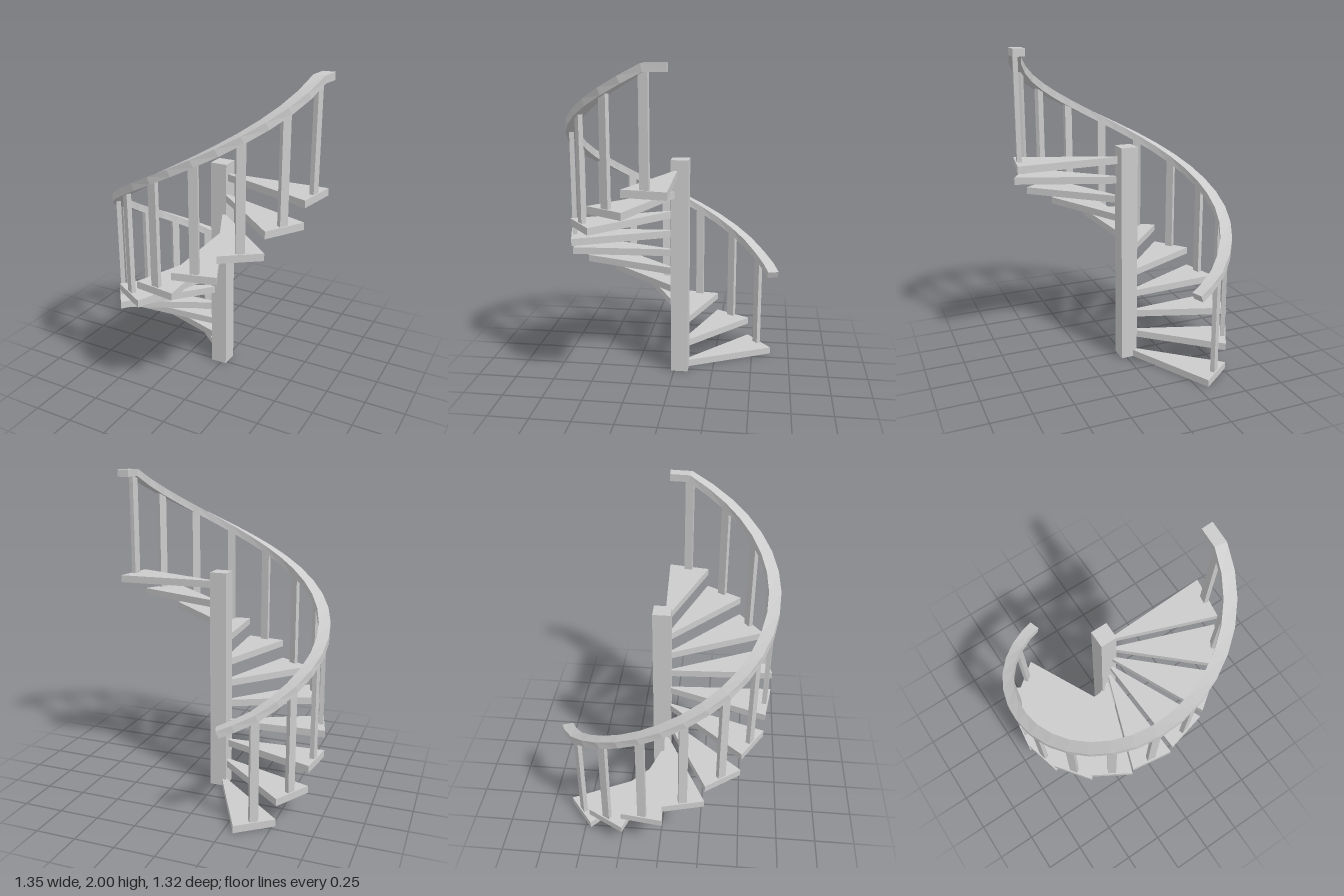
import * as THREE from 'three';

const CX = -0.01, CZ = -0.02;            // axis of the spiral
const STEPS = 11, RISE = 0.129, THICK = 0.045;
const STEP_ANGLE = THREE.MathUtils.degToRad(22.33);
const BOTTOM_ANGLE = THREE.MathUtils.degToRad(243.4);
const TREAD_R = 0.677, RAIL_R = 0.642;
const RAIL_ABOVE = 0.643;                // rail centre above each tread top

const material = new THREE.MeshStandardMaterial({ color: 0xcccccc, flatShading: true });

const angleAt = (s) => BOTTOM_ANGLE - s * STEP_ANGLE;
const treadTop = (i) => THICK + i * RISE;

function addMesh(parent, name, geometry) {
  const mesh = new THREE.Mesh(geometry, material);
  mesh.name = name;
  parent.add(mesh);
  return mesh;
}

// Wedge-shaped tread, its tip on the axis, top face at y = 0
function treadGeometry(a0, a1) {
  const shape = new THREE.Shape([
    new THREE.Vector2(0, 0),
    new THREE.Vector2(TREAD_R * Math.cos(a0), TREAD_R * Math.sin(a0)),
    new THREE.Vector2(TREAD_R * Math.cos(a1), TREAD_R * Math.sin(a1)),
  ]);
  return new THREE.ExtrudeGeometry(shape, { depth: THICK, bevelEnabled: false }).rotateX(Math.PI / 2);
}

// Rail centre at step position s; it levels off at the top end
function railPoint(s) {
  const a = angleAt(s);
  let y = treadTop(Math.min(s - 0.5, STEPS - 1)) + RAIL_ABOVE;
  if (s < 0.5) y += (0.5 - s) * 0.03;
  return new THREE.Vector3(RAIL_R * Math.cos(a), y, RAIL_R * Math.sin(a));
}

// Rectangular section swept down the helix
function railGeometry() {
  const halfW = 0.036, halfH = THICK / 2;
  const stations = [];
  for (let s = STEPS; s >= 0; s -= 0.5) stations.push(s);
  stations.push(-0.34);
  const pts = stations.map(railPoint);
  const positions = [], index = [];
  pts.forEach((p, i) => {
    const a = angleAt(stations[i]);
    const prev = pts[Math.max(i - 1, 0)], next = pts[Math.min(i + 1, pts.length - 1)];
    const dy = (next.y - prev.y) / Math.hypot(next.x - prev.x, next.z - prev.z);
    const tangent = new THREE.Vector3(-Math.sin(a), dy, Math.cos(a)).normalize();
    const out = new THREE.Vector3(Math.cos(a), 0, Math.sin(a));
    const up = new THREE.Vector3().crossVectors(tangent, out);
    for (const [u, v] of [[-1, -1], [1, -1], [1, 1], [-1, 1]]) {
      const c = p.clone().addScaledVector(out, u * halfW).addScaledVector(up, v * halfH);
      positions.push(c.x, c.y, c.z);
    }
    if (i === 0) return;
    const A = (i - 1) * 4, B = i * 4;
    for (let k = 0; k < 4; k++) {
      const n = (k + 1) % 4;
      index.push(A + k, A + n, B + n, A + k, B + n, B + k);
    }
  });
  const e = (pts.length - 1) * 4;
  index.push(0, 3, 2, 0, 2, 1, e, e + 1, e + 2, e, e + 2, e + 3);
  const indexed = new THREE.BufferGeometry();
  indexed.setAttribute('position', new THREE.Float32BufferAttribute(positions, 3));
  indexed.setIndex(index);
  const geometry = indexed.toNonIndexed();
  geometry.computeVertexNormals();
  return geometry;
}

export function createModel() {
  const model = new THREE.Group();
  model.name = 'spiralStaircase';

  // Square central post
  addMesh(model, 'centralPost', new THREE.BoxGeometry(0.106, 1.4, 0.11)).position.set(-0.018, 0.7, -0.035);

  const spiral = new THREE.Group();
  spiral.name = 'spiral';
  spiral.position.set(CX, 0, CZ);
  model.add(spiral);

  // Treads, each with one baluster up to the rail
  for (let i = 0; i < STEPS; i++) {
    const top = treadTop(i);
    addMesh(spiral, 'tread', treadGeometry(angleAt(i + 1), angleAt(i))).position.y = top;

    const foot = railPoint(i + 0.5);
    const height = foot.y - top;
    const baluster = addMesh(spiral, 'baluster', new THREE.BoxGeometry(0.028, height, 0.052));
    baluster.position.set(foot.x, top + height / 2, foot.z);
    baluster.rotation.y = -angleAt(i + 0.5);
  }

  addMesh(spiral, 'handrail', railGeometry());
  return model;
}
